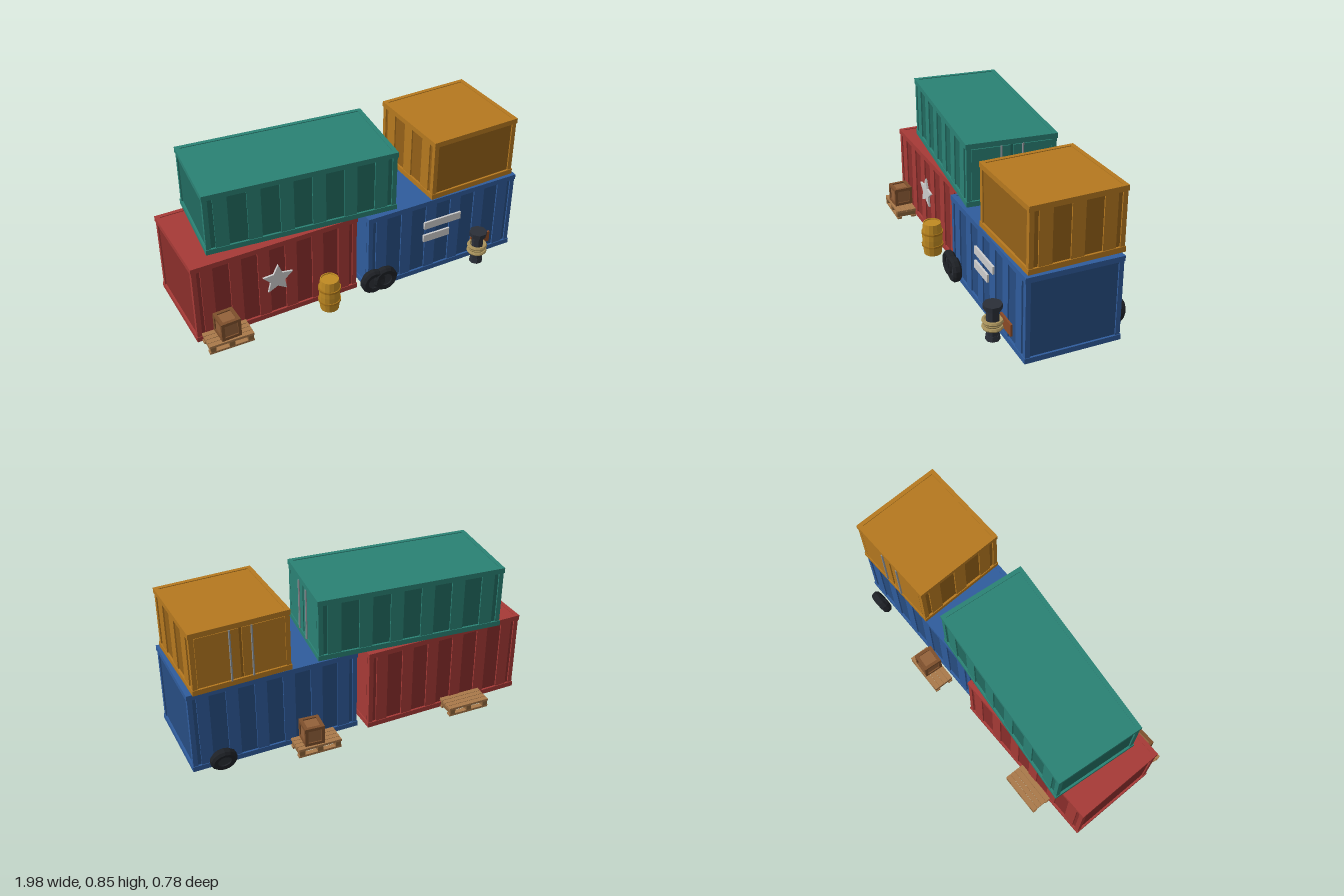
import * as THREE from 'three';

const mats = {};
function mat(color) {
  if (!mats[color]) {
    mats[color] = new THREE.MeshStandardMaterial({ color, flatShading: true });
  }
  return mats[color];
}

function add(parent, name, geo, color, x = 0, y = 0, z = 0) {
  const m = new THREE.Mesh(geo, mat(color));
  m.name = name;
  m.position.set(x, y, z);
  parent.add(m);
  return m;
}
const box = (parent, name, color, w, h, d, x, y, z) =>
  add(parent, name, new THREE.BoxGeometry(w, h, d), color, x, y, z);

function group(parent, name, x, y, z, rotY = 0) {
  const g = new THREE.Group();
  g.name = name;
  g.position.set(x, y, z);
  g.rotation.y = rotY;
  parent.add(g);
  return g;
}

// Ribbed shipping container: length along x, doors on local +x
function container(parent, name, L, H, W, light, dark, x, y, z, rotY) {
  const g = group(parent, name, x, y, z, rotY);
  const t = 0.03, inset = 0.012;
  box(g, 'wallPanels', dark, L - 2 * inset, H - 0.02, W - 2 * inset, 0, H / 2, 0);
  box(g, 'roof', light, L - t, 0.02, W - t, 0, H - 0.014, 0);
  box(g, 'floor', dark, L - t, 0.02, W - t, 0, 0.012, 0);
  // rails and corner posts
  for (const yy of [t / 2, H - t / 2]) {
    for (const s of [-1, 1]) {
      box(g, 'sideRail', light, L, t, 0.024, 0, yy, s * (W / 2 - 0.012));
      box(g, 'endRail', light, 0.024, t, W - 0.048, s * (L / 2 - 0.012), yy, 0);
    }
  }
  for (const sx of [-1, 1]) {
    for (const sz of [-1, 1]) {
      box(g, 'cornerPost', light, 0.026, H - 2 * t, 0.026,
        sx * (L / 2 - 0.017), H / 2, sz * (W / 2 - 0.017));
    }
  }
  // side ribs
  const n = Math.round(L / 0.175), pitch = (L - 0.01) / n;
  for (let i = 0; i < n; i++) {
    for (const s of [-1, 1]) {
      box(g, 'rib', light, pitch * 0.42, H - 2 * t, 0.02,
        (i - (n - 1) / 2) * pitch, H / 2, s * (W / 2 - 0.014));
    }
  }
  // door leaves with locking rods
  for (const s of [-1, 1]) {
    box(g, 'door', light, 0.014, H - 2 * t - 0.01, W / 2 - 0.04,
      L / 2 - 0.011, H / 2, s * (W / 4 - 0.012));
    add(g, 'lockingRod', new THREE.CylinderGeometry(0.006, 0.006, H - 0.06, 6),
      0x8a8f94, L / 2, H / 2, s * 0.06);
  }
}

// Timber pallet, 0.25 x 0.12
function pallet(parent, x, z) {
  const g = group(parent, 'pallet', x, 0, z);
  for (let i = 0; i < 4; i++) {
    box(g, 'deckBoard', 0xa9794a, 0.25, 0.014, 0.028, 0, 0.047, (i - 1.5) * 0.0307);
  }
  for (const bx of [-0.105, 0, 0.105]) {
    box(g, 'bearer', 0x8f653b, 0.03, 0.028, 0.12, bx, 0.027, 0);
  }
  for (const bz of [-0.045, 0.045]) {
    box(g, 'bottomBoard', 0xa9794a, 0.25, 0.013, 0.028, 0, 0.0065, bz);
  }
}

// Crate with battens along all twelve edges
function crate(parent, x, z, rotY) {
  const g = group(parent, 'crate', x, 0.114, z, rotY);
  const s = 0.11, b = 0.018, o = s / 2 - b / 2 + 0.001;
  box(g, 'crateBody', 0x93613a, s - 0.012, s - 0.012, s - 0.012, 0, 0, 0);
  for (const u of [-o, o]) {
    for (const v of [-o, o]) {
      box(g, 'batten', 0x7d4f2c, s, b, b, 0, u, v);
      box(g, 'batten', 0x7d4f2c, b, s, b, u, 0, v);
      box(g, 'batten', 0x7d4f2c, b, b, s, u, v, 0);
    }
  }
}

// Tyre standing upright, facing z
function tyre(parent, x, z, rotX) {
  const g = group(parent, 'tyre', x, 0.074, z);
  g.rotation.x = rotX;
  const profile = [[0.038, -0.02], [0.062, -0.025], [0.074, -0.012],
    [0.074, 0.012], [0.062, 0.025], [0.038, 0.02], [0.038, -0.02]]
    .map(p => new THREE.Vector2(...p));
  add(g, 'tread', new THREE.LatheGeometry(profile, 14), 0x1e2126).rotation.x = Math.PI / 2;
  add(g, 'hub', new THREE.CylinderGeometry(0.039, 0.039, 0.024, 14), 0x2b2f36)
    .rotation.x = Math.PI / 2;
}

function barrel(parent, x, z) {
  const g = group(parent, 'barrel', x, 0, z);
  const profile = [[0, 0], [0.052, 0], [0.058, 0.05], [0.06, 0.1],
    [0.058, 0.15], [0.052, 0.2], [0.046, 0.2], [0.046, 0.193], [0, 0.193]]
    .map(p => new THREE.Vector2(...p));
  add(g, 'barrelBody', new THREE.LatheGeometry(profile, 14), 0xc08a22);
  for (const y of [0.06, 0.14]) {
    add(g, 'hoop', new THREE.CylinderGeometry(0.064, 0.064, 0.012, 14), 0xa87418, 0, y, 0);
  }
}

// Mooring bollard wound with rope
function bollard(parent, x, z) {
  const g = group(parent, 'bollard', x, 0, z, Math.PI / 8);
  const steel = 0x2b2f38;
  add(g, 'base', new THREE.CylinderGeometry(0.036, 0.04, 0.03, 8), steel, 0, 0.015, 0);
  add(g, 'column', new THREE.CylinderGeometry(0.034, 0.034, 0.17, 8), steel, 0, 0.105, 0);
  add(g, 'cap', new THREE.CylinderGeometry(0.052, 0.05, 0.028, 8), steel, 0, 0.195, 0);
  for (const y of [0.077, 0.095, 0.113]) {
    const r = y === 0.095 ? 0.04 : 0.048;
    add(g, 'rope', new THREE.TorusGeometry(r, 0.011, 6, 14), 0xa8925c, 0, y, 0)
      .rotation.x = Math.PI / 2;
  }
}

function starShape(outer, inner) {
  const pts = [];
  for (let i = 0; i < 10; i++) {
    const r = i % 2 ? inner : outer, a = Math.PI / 2 + i * Math.PI / 5;
    pts.push(new THREE.Vector2(r * Math.cos(a), r * Math.sin(a)));
  }
  return new THREE.Shape(pts);
}

export function createModel() {
  const model = new THREE.Group();
  model.name = 'containerStack';

  // four stacked containers
  container(model, 'redContainer', 0.965, 0.487, 0.532, 0xa63a36, 0x8a2e2b,
    -0.505, 0, -0.014, 0.028);
  container(model, 'blueContainer', 0.965, 0.487, 0.537, 0x2f5c9c, 0x274d82,
    0.502, 0, 0.011, Math.PI + 0.02);
  container(model, 'tealContainer', 1.077, 0.362, 0.511, 0x2a8174, 0x216a5f,
    -0.31, 0.49, -0.027, -0.07);
  container(model, 'yellowContainer', 0.535, 0.362, 0.55, 0xb5781f, 0x936018,
    0.686, 0.49, -0.003, Math.PI / 2 + 0.05);

  // painted star and plates on the front walls
  const star = add(model, 'star', new THREE.ExtrudeGeometry(starShape(0.092, 0.044),
    { depth: 0.012, bevelEnabled: false }), 0xcccccc, -0.505, 0.256, 0.25);
  star.rotation.set(0, 0.028, -0.05);
  box(model, 'upperPlate', 0xcccccc, 0.24, 0.046, 0.012, 0.5, 0.33, 0.283).rotation.y = 0.02;
  box(model, 'lowerPlate', 0xcccccc, 0.17, 0.046, 0.012, 0.463, 0.243, 0.284).rotation.y = 0.02;
  box(model, 'rustPatch', 0x8a4a26, 0.13, 0.068, 0.012, 0.775, 0.104, 0.276).rotation.y = 0.02;

  // clutter around the base
  pallet(model, -0.828, 0.325);
  pallet(model, -0.625, -0.33);
  pallet(model, 0.3, -0.33);
  crate(model, -0.828, 0.322, 0.06);
  crate(model, 0.325, -0.328, -0.06);
  barrel(model, -0.228, 0.318);
  tyre(model, 0.048, 0.309, 0);
  tyre(model, 0.12, 0.312, 0);
  tyre(model, 0.823, -0.316, -0.28);
  bollard(model, 0.724, 0.328);
  return model;
}
